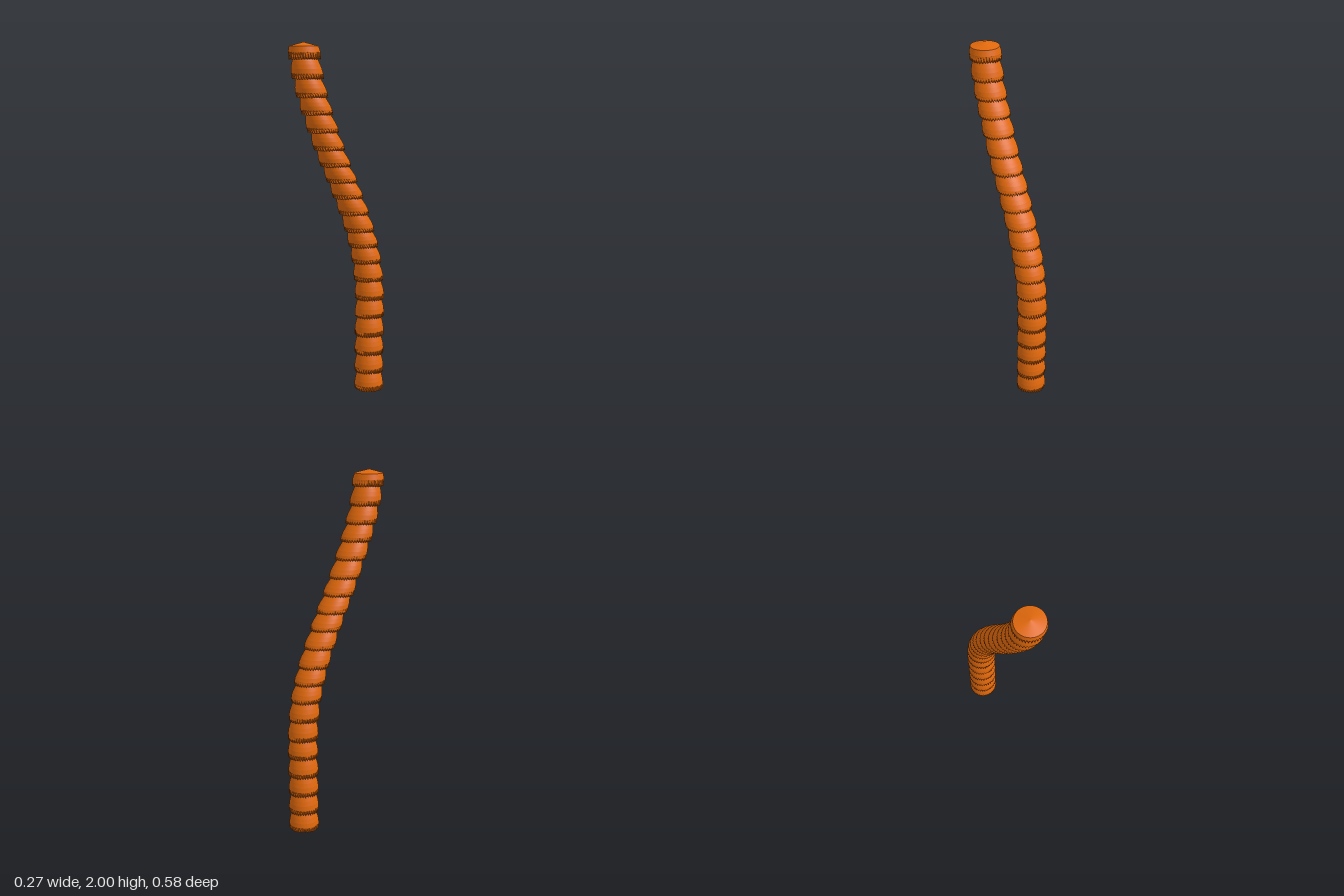
import * as THREE from 'three';

const TEETH = 36;
const RIMS = [0.04, 0.145, 0.255, 0.365, 0.475, 0.58, 0.69, 0.795, 0.89, 0.98,
  1.08, 1.175, 1.265, 1.355, 1.445, 1.54, 1.635, 1.725, 1.82, 1.92];

// Centre line of the stalk: [z, y] at even steps of height
const PATH = new THREE.SplineCurve(
  [-0.207, -0.207, -0.207, -0.207, -0.185, -0.13, -0.05, 0.04, 0.12, 0.185, 0.215]
    .map((z, i) => new THREE.Vector2(z, i * 0.2)));

// Dome of one segment: [fraction of its height, radius]
const DOME = [[0.22, 0.083], [0.45, 0.08], [0.68, 0.074], [0.86, 0.068], [0.95, 0.064]];

export function createModel() {
  const profile = [new THREE.Vector2(0, 0)];
  const rimRows = new Set();
  RIMS.forEach((y, i) => {
    rimRows.add(profile.length);
    profile.push(new THREE.Vector2(0.083, y));
    if (i < RIMS.length - 1) {
      const h = RIMS[i + 1] - y;
      for (const [t, r] of DOME) profile.push(new THREE.Vector2(r, y + t * h));
    }
  });
  // Short rounded end with a shallow conical cap
  profile.push(new THREE.Vector2(0.083, 1.95), new THREE.Vector2(0.076, 1.98), new THREE.Vector2(0, 2));

  const geometry = new THREE.LatheGeometry(profile, TEETH * 2);
  const pos = geometry.attributes.position;
  for (let i = 0; i < pos.count; i++) {
    const row = i % profile.length;
    const side = Math.floor(i / profile.length);
    let x = pos.getX(i), y = pos.getY(i), z = pos.getZ(i);
    const centre = PATH.getPoint(Math.min(y / 2, 1)).x;
    // Serrated rim: every second point is raised and drawn in
    if (rimRows.has(row)) {
      const inner = side % 2 === 1;
      if (inner) { x *= 0.95; z *= 0.95; }
      y += inner ? 0.009 : -0.007;
    }
    pos.setXYZ(i, x - centre * 0.25, y, z + centre);
  }
  geometry.computeVertexNormals();

  const stalk = new THREE.Mesh(geometry, new THREE.MeshStandardMaterial({ color: 0xe0680c, flatShading: true }));
  stalk.name = 'segmentedStalk';
  const group = new THREE.Group();
  group.name = 'bentStalk';
  group.add(stalk);
  return group;
}
